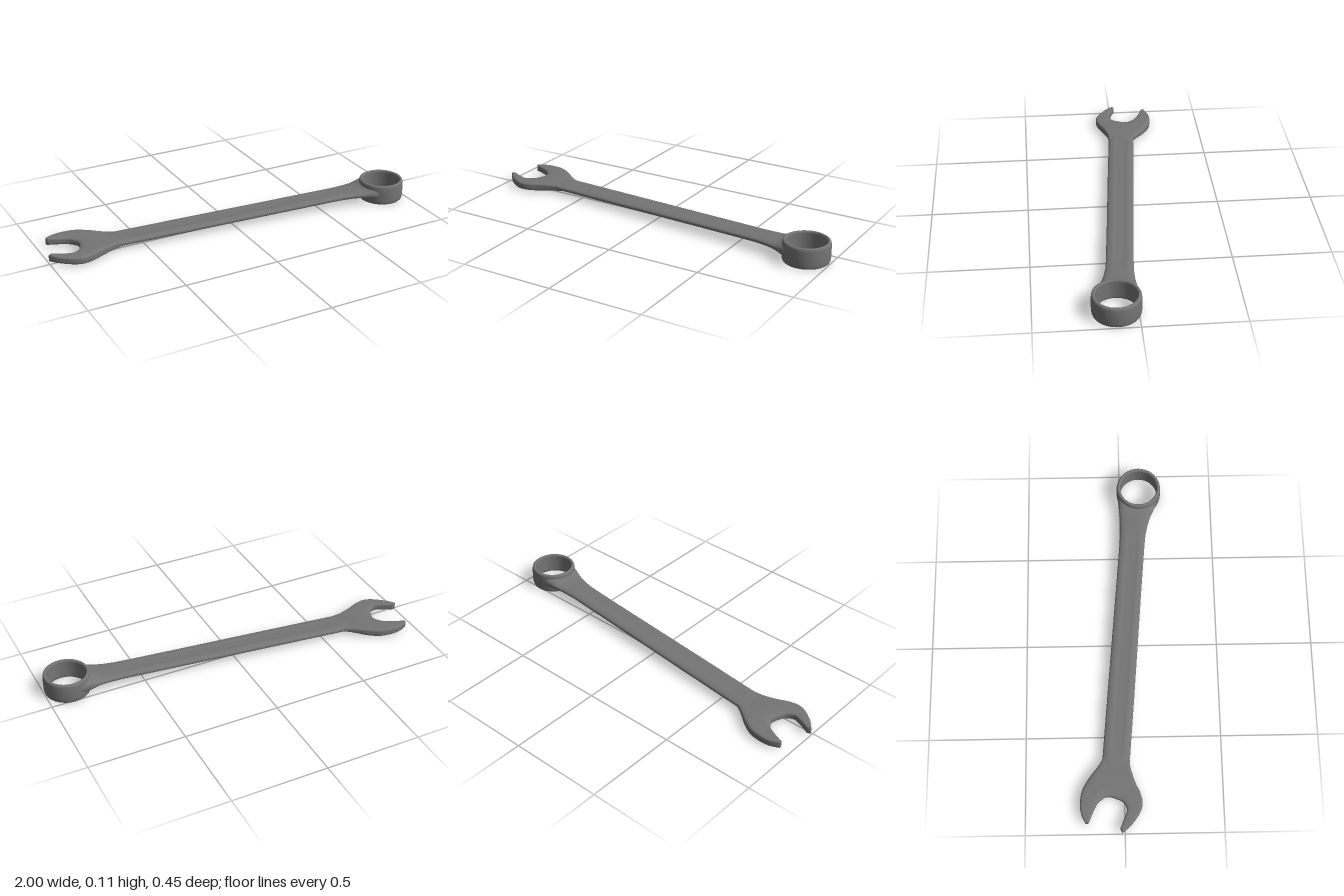
import * as THREE from 'three';

const { lerp, smoothstep } = THREE.MathUtils;
const RING = { x: 0.88, z: 0.105, outer: 0.12, inner: 0.1, height: 0.108 };

// Skin of closed rounded sections; place(row, u, v) gives [x, y, z] for u, v in -1..1
function loft(rows, sides, power, place) {
  const positions = [], index = [];
  const shape = (v) => Math.sign(v) * Math.abs(v) ** power;
  for (let r = 0; r < rows; r++) {
    for (let j = 0; j < sides; j++) {
      const a = (j / sides) * Math.PI * 2;
      positions.push(...place(r, shape(Math.cos(a)), shape(Math.sin(a))));
      if (r === rows - 1) continue;
      const n = (j + 1) % sides, b = r * sides, c = b + sides;
      index.push(b + j, c + j, b + n, b + n, c + j, c + n);
    }
  }
  const geometry = new THREE.BufferGeometry();
  geometry.setAttribute('position', new THREE.Float32BufferAttribute(positions, 3));
  geometry.setIndex(index);
  geometry.computeVertexNormals();
  return geometry;
}

// Smooth run of [x, z] points
function smoothRun(points, divisions) {
  return new THREE.SplineCurve(points.map(([x, z]) => new THREE.Vector2(x, z))).getPoints(divisions);
}

// Open jaw: sections swept from the back tip round to the front tip, between rim and mouth
function openJawGeometry() {
  const side = 36, across = 16;
  const rim = [
    ...smoothRun([[-0.949, -0.198], [-0.906, -0.218], [-0.853, -0.225], [-0.783, -0.214],
      [-0.719, -0.178], [-0.666, -0.137], [-0.625, -0.111], [-0.56, -0.088]], side),
    ...smoothRun([[-0.56, -0.088], [-0.56, 0.02]], across).slice(1, -1),
    ...smoothRun([[-0.56, 0.02], [-0.625, 0.029], [-0.676, 0.034], [-0.746, 0.056], [-0.8, 0.08],
      [-0.853, 0.09], [-0.901, 0.075], [-0.96, 0.032], [-0.999, -0.014]], side),
  ];
  const mouth = [
    ...smoothRun([[-0.946, -0.182], [-0.89, -0.158], [-0.848, -0.136], [-0.82, -0.102]], side),
    ...smoothRun([[-0.82, -0.102], [-0.816, -0.08], [-0.82, -0.059]], across).slice(1, -1),
    ...smoothRun([[-0.82, -0.059], [-0.842, -0.01], [-0.88, 0.011], [-0.917, 0.001], [-0.976, -0.024]], side),
  ];
  const last = rim.length + 1;
  return loft(rim.length + 2, 48, 0.45, (r, u, v) => {
    const closed = r === 0 || r === last ? 0 : 1; // first and last rows close the tips
    const k = THREE.MathUtils.clamp(r - 1, 0, rim.length - 1);
    const t = (1 + u * closed) / 2;
    const x = lerp(rim[k].x, mouth[k].x, t), z = lerp(rim[k].y, mouth[k].y, t);
    const fade = smoothstep(x, -0.76, -0.57);
    const half = lerp(lerp(0.019, 0.0235, smoothstep(x, -0.98, -0.76)), 0.011, fade);
    return [x, lerp(0.027, 0.0335, fade) + half * v * closed, z];
  });
}

// Handle: rounded sections with a shallow groove, flaring into the ring
function handleGeometry() {
  // x, centre z, half width, half thickness, groove depth
  const stations = [
    [-0.74, -0.05, 0.05, 0.01, 0], [-0.68, -0.045, 0.062, 0.016, 0], [-0.62, -0.039, 0.07, 0.018, 0.08],
    [-0.56, -0.034, 0.07, 0.018, 0.2], [-0.3, -0.011, 0.07, 0.018, 0.2], [0, 0.015, 0.069, 0.018, 0.2],
    [0.3, 0.041, 0.068, 0.018, 0.2], [0.56, 0.064, 0.068, 0.018, 0.2], [0.62, 0.07, 0.069, 0.018, 0.08],
    [0.67, 0.076, 0.074, 0.018, 0], [0.71, 0.082, 0.08, 0.0185, 0], [0.74, 0.087, 0.087, 0.021, 0],
    [0.765, 0.091, 0.094, 0.028, 0], [0.79, 0.095, 0.1, 0.037, 0], [0.82, 0.099, 0.107, 0.042, 0],
    [0.85, 0.103, 0.112, 0.043, 0], [0.88, 0.105, 0.113, 0.043, 0],
  ];
  const steps = 4, wall = 0.11;
  return loft((stations.length - 1) * steps + 1, 48, 0.75, (r, u, v) => {
    const k = Math.min(Math.floor(r / steps), stations.length - 2);
    const t = r / steps - k;
    const [x, zc, halfWidth, half, groove] = stations[k].map((s, i) => lerp(s, stations[k + 1][i], t));
    const dip = 1 - groove * (1 - smoothstep(Math.abs(u), 0.3, 0.55));
    const z = zc + halfWidth * u;
    // keep the flare out of the ring opening
    const limit = RING.x - Math.sqrt(Math.max(0, wall * wall - (z - RING.z) ** 2));
    return [Math.min(x, limit), 0.033 + (x + 0.6) * 0.017 + half * v * dip, z];
  });
}

// Ring end: revolved wall, slightly barrelled, with softened rims
function ringGeometry() {
  const { outer, inner, height } = RING;
  const lower = [
    [inner, 0.014], [inner, 0.007], [inner + 0.002, 0.002], [inner + 0.006, 0], [outer - 0.012, 0],
    [outer - 0.007, 0.001], [outer - 0.004, 0.004], [outer - 0.002, 0.01], [outer - 0.0005, 0.025],
  ];
  const upper = lower.map(([r, y]) => [r, height - y]).reverse();
  const profile = [[inner, height / 2], ...lower, [outer, height / 2], ...upper, [inner, height / 2]];
  return new THREE.LatheGeometry(profile.map(([r, y]) => new THREE.Vector2(r, y)), 72);
}

export function createModel() {
  const group = new THREE.Group();
  group.name = 'combinationWrench';
  const material = new THREE.MeshStandardMaterial({ color: 0x757575 });
  const add = (name, geometry) => {
    const mesh = new THREE.Mesh(geometry, material);
    mesh.name = name;
    group.add(mesh);
    return mesh;
  };
  add('openJaw', openJawGeometry());
  add('handle', handleGeometry());
  add('ringEnd', ringGeometry()).position.set(RING.x, 0, RING.z);
  return group;
}
